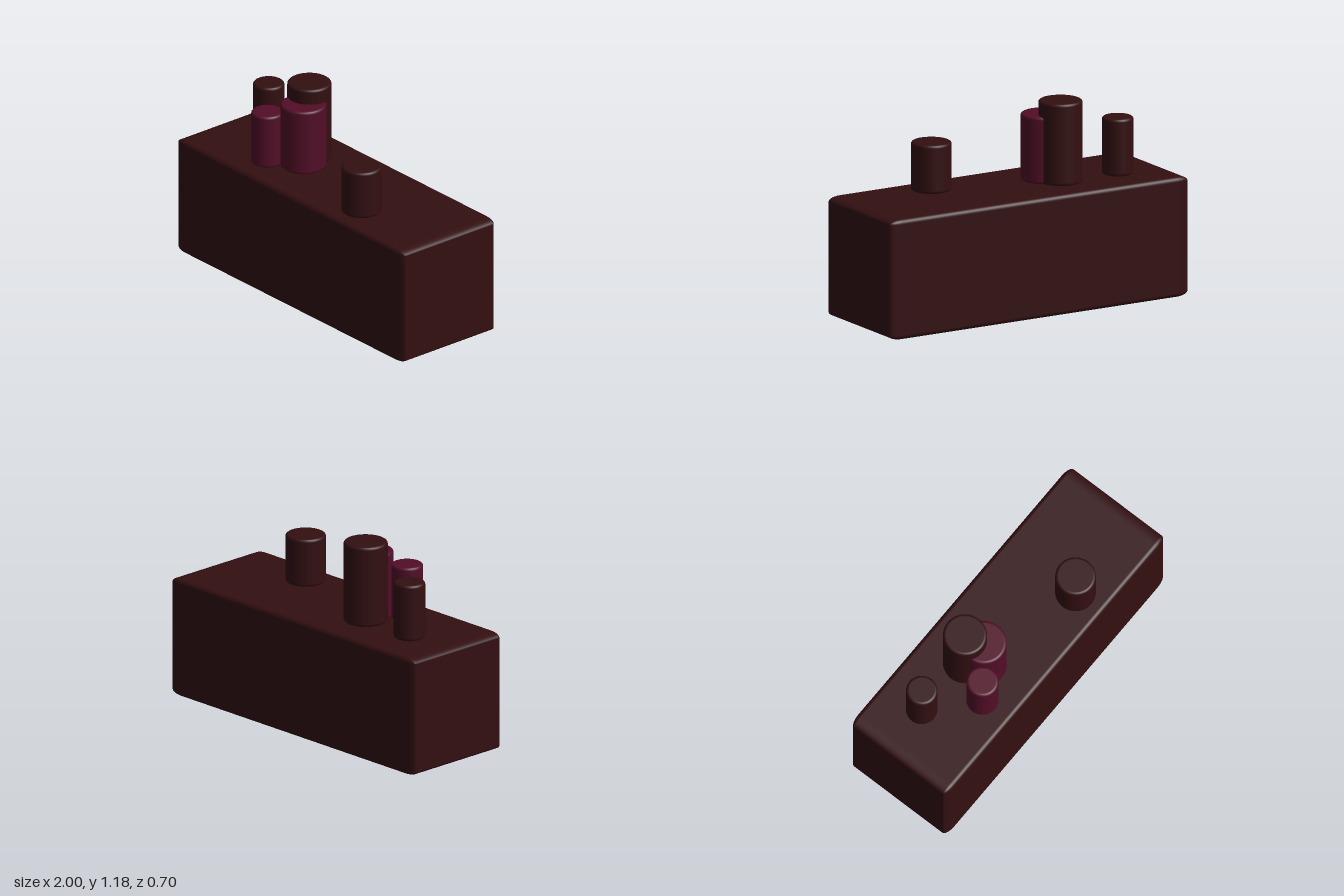
import * as THREE from 'three';
import { RoundedBoxGeometry } from 'three/addons/geometries/RoundedBoxGeometry.js';

const BASE_TOP = 0.705;

export function createModel() {
  const model = new THREE.Group();
  const darkBrown = new THREE.MeshStandardMaterial({ name: 'darkBrown', color: 0x330f11 });
  const plum = new THREE.MeshStandardMaterial({ name: 'plum', color: 0x520e27 });

  // Block with soft edges, stretched along x
  const blockGeometry = new RoundedBoxGeometry(0.7, BASE_TOP, 0.7, 4, 0.027);
  blockGeometry.scale(2 / 0.7, 1, 1);
  blockGeometry.translate(0, BASE_TOP / 2, 0);
  const block = new THREE.Mesh(blockGeometry, darkBrown);
  block.name = 'baseBlock';
  model.add(block);

  // Upright peg with rounded rims at both ends
  function addPeg(name, x, z, radius, top, material) {
    const h = top - BASE_TOP, b = 0.015, steps = 4;
    const points = [new THREE.Vector2(0, 0), new THREE.Vector2(radius - b - 0.002, 0)];
    for (let end = 0; end < 2; end++) {
      for (let i = 0; i <= steps; i++) {
        const a = -Math.PI / 2 + (end + i / steps) * Math.PI / 2;
        const cy = end ? h - b : b;
        points.push(new THREE.Vector2(radius - b + b * Math.cos(a), cy + b * Math.sin(a)));
      }
      if (!end) {
        points.push(new THREE.Vector2(radius, b + 0.002), new THREE.Vector2(radius, h - b - 0.002));
      }
    }
    points.push(new THREE.Vector2(radius - b - 0.002, h), new THREE.Vector2(0, h));
    const peg = new THREE.Mesh(new THREE.LatheGeometry(points, 48), material);
    peg.name = name;
    peg.position.set(x, BASE_TOP, z);
    model.add(peg);
  }

  addPeg('outerRightPeg', -0.686, -0.08, 0.09, 1.04, darkBrown);
  addPeg('tallPeg', -0.311, -0.065, 0.126, 1.185, darkBrown);
  addPeg('largePlumPeg', -0.255, 0.027, 0.131, 1.097, plum);
  addPeg('smallPlumPeg', -0.424, 0.153, 0.092, 1.025, plum);
  addPeg('leftPeg', 0.415, 0.16, 0.116, 0.99, darkBrown);

  return model;
}
